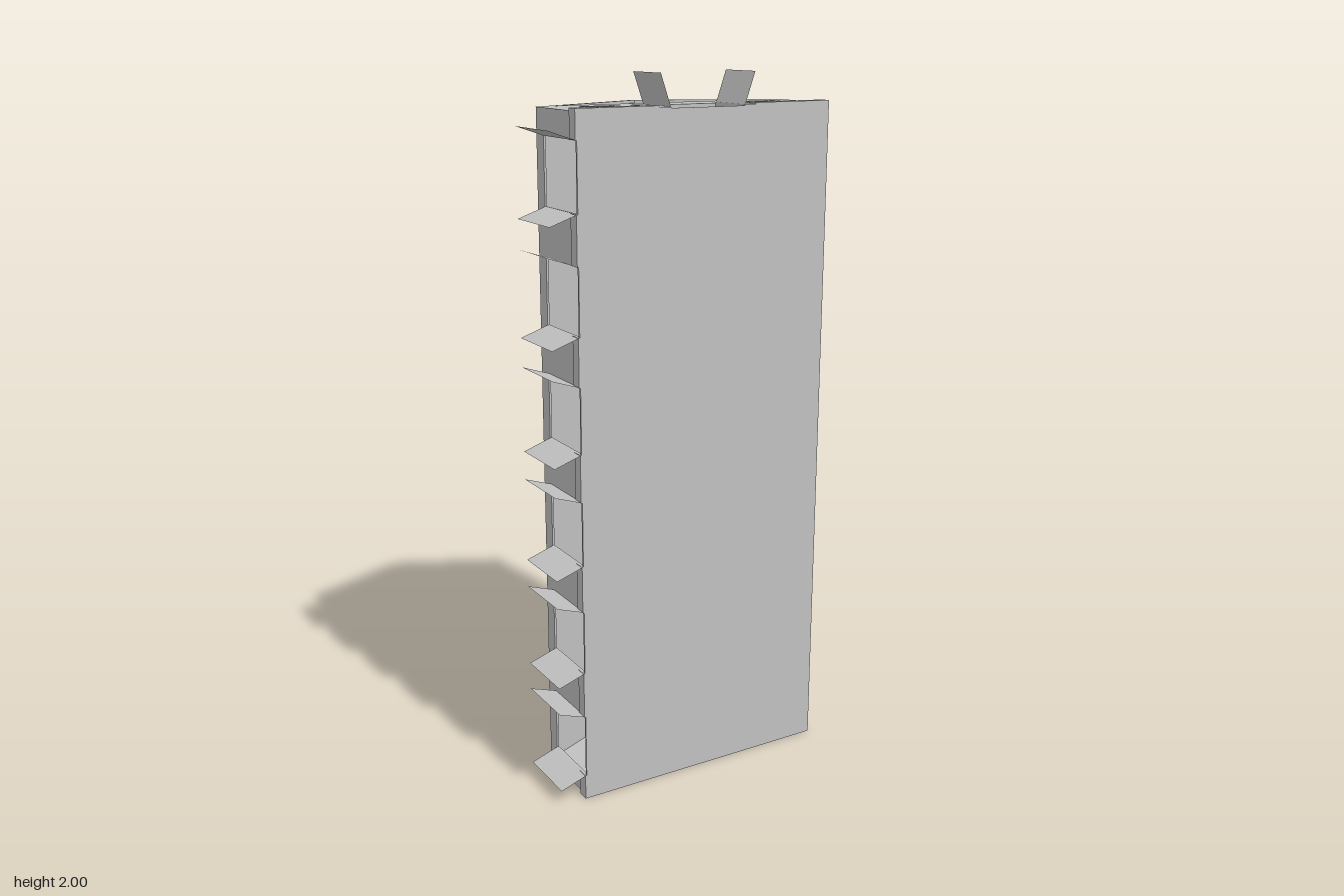
import * as THREE from 'three';

export function createModel() {
  const root = new THREE.Group();
  root.name = 'barn';
  const grey = new THREE.MeshStandardMaterial({ color: 0xc0c0c0, side: THREE.DoubleSide });
  grey.name = 'plain grey';

  const add = (name, geo) => {
    const mesh = new THREE.Mesh(geo, grey);
    mesh.name = name;
    root.add(mesh);
    return mesh;
  };
  // Box from its limits on each axis
  const box = (name, x0, x1, y0, y1, z0, z1) => {
    const geo = new THREE.BoxGeometry(x1 - x0, y1 - y0, z1 - z0);
    geo.translate((x0 + x1) / 2, (y0 + y1) / 2, (z0 + z1) / 2);
    return add(name, geo);
  };
  const points = (list) => list.map(([x, z]) => new THREE.Vector2(x, -z));
  const rect = (x0, x1, z0, z1) => [[x0, z0], [x1, z0], [x1, z1], [x0, z1]];
  // Section drawn in x and z, extruded along y
  const prism = (name, outline, holes, y0, y1) => {
    const shape = new THREE.Shape(points(outline));
    holes.forEach((h) => shape.holes.push(new THREE.Path(points(h))));
    const geo = new THREE.ExtrudeGeometry(shape, { depth: y1 - y0, bevelEnabled: false });
    geo.rotateX(-Math.PI / 2);
    geo.translate(0, y0, 0);
    return add(name, geo);
  };

  const L = -0.35, R = 0.422, MID = 0.036, EAVE = -0.03, RIDGE = -0.2, GROUND = 0.2;
  const Y0 = 0.007, Y1 = 1.912, T = 0.01;
  const gable = [[L, GROUND], [R, GROUND], [R, EAVE], [MID, RIDGE], [L, EAVE]];
  const pediment = [[-0.3, -0.04], [0.373, -0.04], [MID, -0.19]];

  // Window panes, two by two in each window
  const panes = [];
  const windows = [[-0.267, -0.165], [0.234, 0.336]];
  for (const [a] of windows)
    for (const dx of [0.004, 0.054])
      for (const z of [0.06, 0.09]) panes.push(rect(a + dx, a + dx + 0.044, z, z + 0.022));

  // End walls with recessed gables
  const doorway = [[-0.077, 0.199], [-0.077, 0.056], [0.15, 0.056], [0.15, 0.199]];
  prism('frontWall', gable, [pediment, doorway, ...panes], Y1 - T, Y1);
  prism('backWall', gable, [pediment], Y0, Y0 + T);
  prism('frontGablePanel', pediment, [], Y1 - T, Y1 - T + 0.002);
  prism('backGablePanel', pediment, [], Y0 + T - 0.002, Y0 + T);
  panes.forEach((p) => prism('windowPane', p, [], Y1 - T, Y1 - T + 0.002));
  for (const [a, b] of windows)
    prism('windowFrame', rect(a, b, 0.056, 0.116),
      panes.filter((p) => p[0][0] > a && p[0][0] < b), Y1, Y1 + 0.003);

  // Roof, plain side wall and floor in one hollow section
  const W = 0.006;
  prism('roofAndFloor', [
    [L, GROUND], [R, GROUND], [R, EAVE], [MID, RIDGE], [L, EAVE],
    [L, EAVE + W], [MID, RIDGE + W], [R - W, EAVE + W], [R - W, GROUND - W], [L, GROUND - W],
  ], [], Y0 + T, Y1 - T);

  // Thin door leaf, a sheet between a hinge and a free edge
  const leaf = (name, xa, ya, xb, yb, z0, z1) => {
    const geo = new THREE.PlaneGeometry(Math.hypot(xb - xa, yb - ya), z1 - z0);
    geo.rotateZ(0);
    const mesh = add(name, geo);
    geo.rotateX(Math.PI / 2);
    geo.rotateZ(Math.atan2(yb - ya, xb - xa));
    geo.translate((xa + xb) / 2, (ya + yb) / 2, (z0 + z1) / 2);
    return mesh;
  };

  // Side wall with six double doors
  const sideTop = 0.012, P = 0.167, E = 0.004;
  box('sideLintel', L, L + W, Y0, Y1, EAVE, sideTop);
  let from = Y0;
  for (let i = 0; i <= 6; i++) {
    const low = 0.073 + i * 0.317, high = low + 0.183;
    const to = i < 6 ? low : Y1;
    box('sidePier', L, L + W, from, to, sideTop, GROUND);
    box('sidePlinth', L - E, L, from, to, P, GROUND);
    if (i < 6) {
      leaf('sideDoor', L, low, -0.43, low - 0.027, sideTop, GROUND);
      leaf('sideDoor', L, high, -0.43, high + 0.027, sideTop, GROUND);
    }
    from = high;
  }

  // Main doors and their frame
  leaf('mainDoor', -0.077, Y1, -0.108, 2, 0.058, GROUND);
  leaf('mainDoor', 0.15, Y1, 0.181, 2, 0.058, GROUND);
  box('doorFrame', -0.112, -0.077, Y1, Y1 + 0.003, 0.056, GROUND);
  box('doorFrame', 0.15, 0.185, Y1, Y1 + 0.003, 0.056, GROUND);

  // Plinth along the other walls
  box('frontPlinth', L - E, -0.112, Y1, Y1 + 0.007, P, GROUND);
  box('frontPlinth', 0.185, R + E, Y1, Y1 + 0.007, P, GROUND);
  box('backPlinth', L - E, R + E, 0, Y0, P, GROUND);
  box('sidePlinth', R, R + E, Y0, Y1, P, GROUND);

  return root;
}
